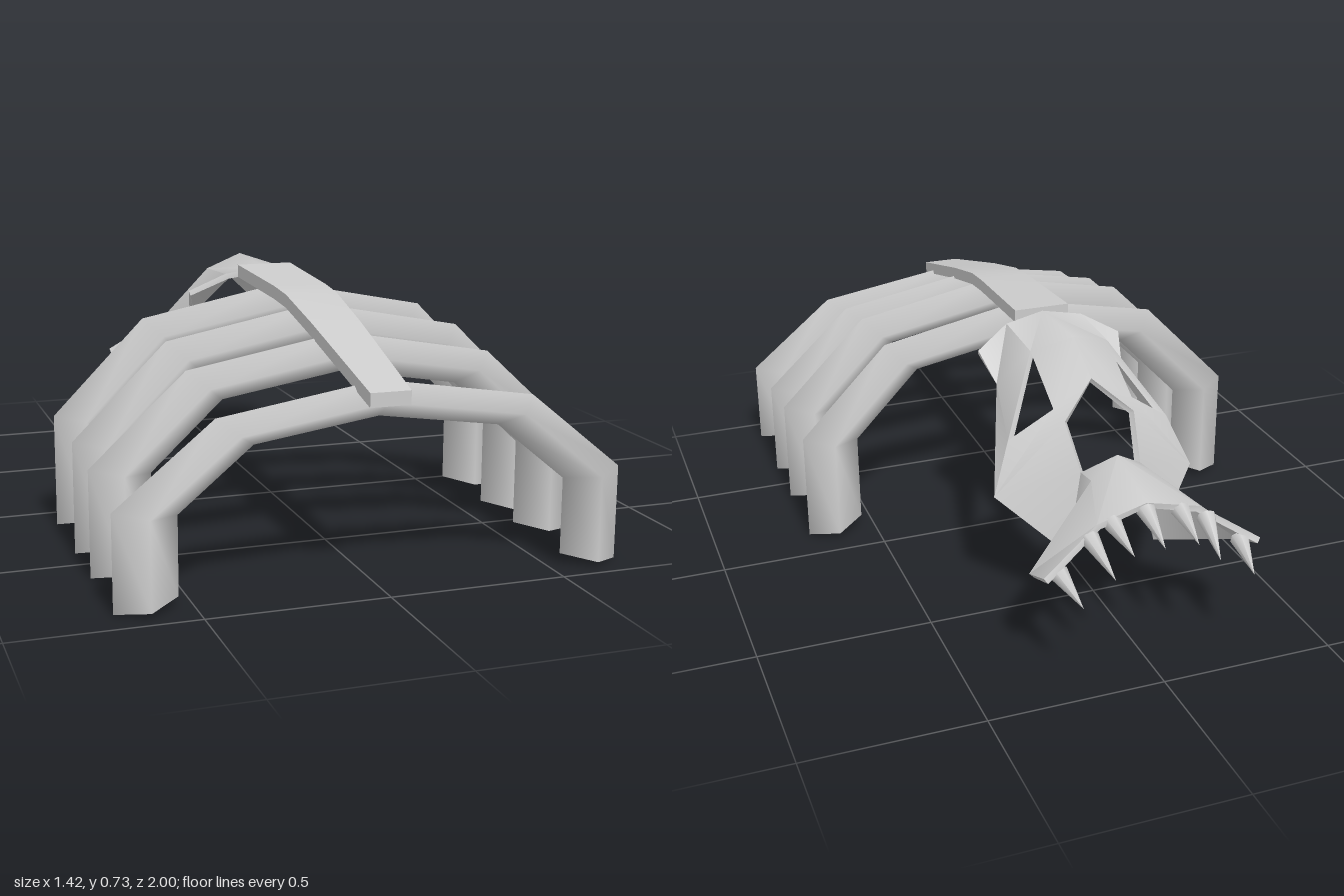
import * as THREE from 'three';
import { toCreasedNormals } from 'three/addons/utils/BufferGeometryUtils.js';

const bone = new THREE.MeshStandardMaterial({ color: 0xcccccc, side: THREE.DoubleSide });

function indexed(points, index) {
  const g = new THREE.BufferGeometry();
  g.setAttribute('position', new THREE.Float32BufferAttribute(points.flat(), 3));
  g.setIndex(index);
  g.computeVertexNormals();
  return g;
}

function part(name, geometry) {
  const m = new THREE.Mesh(geometry, bone);
  m.name = name;
  return m;
}

// Joins four-cornered rings into a bar with separate end caps
function loft(rings) {
  const last = rings.length - 1;
  const points = [...rings, rings[0], rings[last]].flat();
  const index = [];
  for (let i = 0; i < last; i++) {
    for (let j = 0; j < 4; j++) {
      const a = i * 4 + j, b = i * 4 + (j + 1) % 4;
      index.push(a, a + 4, b + 4, a, b + 4, b);
    }
  }
  const c = rings.length * 4;
  index.push(c, c + 1, c + 2, c, c + 2, c + 3);
  index.push(c + 6, c + 5, c + 4, c + 7, c + 6, c + 4);
  return indexed(points, index);
}

// Arched rib with a diamond section; outer and inner ridge lines
function rib(z, height) {
  const half = [
    [0.71, 0.005, 0.54, 0.035],
    [0.71, 0.27, 0.54, 0.25],
    [0.44, 0.49, 0.34, 0.415],
    [0, 0.56, 0, 0.465],
  ];
  const mirrored = half.slice(0, 3).reverse().map(([ox, oy, ix, iy]) => [-ox, oy, -ix, iy]);
  const k = height / 0.56;
  return loft([...half, ...mirrored].map(([ox, oy, ix, iy]) => {
    const mx = (ox + ix) / 2, my = (oy + iy) / 2 * k;
    return [[ox, oy * k, z], [mx, my, z + 0.0625], [ix, iy * k, z], [mx, my, z - 0.0625]];
  }));
}

// Tapered, gently bent spine: z, half width, top height
function spine() {
  const rings = [
    [1, 0.056, 0.55], [0.8, 0.063, 0.605], [0.6, 0.07, 0.66], [0.4, 0.076, 0.708],
    [0.3, 0.078, 0.718], [0.1, 0.082, 0.728], [-0.04, 0.085, 0.735],
  ].map(([z, w, y]) => [
    [w - 0.01, y - 0.038, z], [w - 0.01, y, z], [-w - 0.01, y, z], [-w - 0.01, y - 0.038, z],
  ]);
  return toCreasedNormals(loft(rings), 0.6);
}

// Skull mask: one half's landmarks, mirrored, then thickened
function skull() {
  const marks = {
    A0: [0, 0.725, -0.045], A1: [0.12, 0.705, -0.06], A2: [0.225, 0.65, -0.105],
    B0: [0, 0.735, -0.3], B1: [0.12, 0.695, -0.265], B2: [0.2, 0.575, -0.195],
    C0: [0, 0.66, -0.435], C1: [0.12, 0.59, -0.45], C2: [0.245, 0.5, -0.42], C3: [0.305, 0.355, -0.47],
    N1: [0.105, 0.57, -0.5], N2: [0.09, 0.45, -0.585], W: [0.14, 0.22, -0.62],
    S0: [0, 0.51, -0.63], S1: [0.09, 0.46, -0.66],
    R0: [0, 0.46, -0.83], R1: [0.15, 0.43, -0.845], F1: [0.315, 0.28, -0.78], F2: [0.315, 0.325, -0.89],
  };
  const faces = [
    'A0 A1 B1 B0', 'A1 A2 B2 B1', 'B0 B1 C1 C0', 'B1 B2 C2', 'B2 C3 C2', 'C0 C1 N1',
    'C1 C2 C3', 'C1 C3 N1', 'N1 C3 N2', 'N2 C3 W', 'N2 S1 S0', 'N2 W S1',
    'S0 S1 R1 R0', 'S1 W F1', 'S1 F1 R1', 'R1 F1 F2',
  ];
  const points = [], ids = {}, tris = [];
  const id = (key, side) => {
    const [x, y, z] = marks[key];
    const name = key + (x ? side : 0);
    if (!(name in ids)) ids[name] = points.push([x * side, y, z]) - 1;
    return ids[name];
  };
  for (const side of [1, -1]) {
    for (const face of faces) {
      const f = face.split(' ').map((key) => id(key, side));
      for (let i = 2; i < f.length; i++) {
        const [a, b, c] = [f[0], f[i - 1], f[i]];
        const [p, q, r] = [points[a], points[b], points[c]];
        // keep every triangle facing up
        const up = (q[2] - p[2]) * (r[0] - p[0]) - (q[0] - p[0]) * (r[2] - p[2]) > 0;
        tris.push(up ? [a, b, c] : [a, c, b]);
      }
    }
  }
  // inner layer and rims around the holes and outline
  const n = points.length;
  const normal = indexed(points, tris.flat()).getAttribute('normal');
  const t = 0.018;
  const inner = points.map(([x, y, z], i) =>
    [x - t * normal.getX(i), y - t * normal.getY(i), z - t * normal.getZ(i)]);
  const edges = new Set();
  tris.forEach((f) => f.forEach((a, i) => edges.add(a + '_' + f[(i + 1) % 3])));
  const index = tris.flatMap(([a, b, c]) => [a, b, c, c + n, b + n, a + n]);
  for (const e of edges) {
    const [a, b] = e.split('_').map(Number);
    if (!edges.has(b + '_' + a)) index.push(b, a, a + n, b, a + n, b + n);
  }
  return toCreasedNormals(indexed([...points, ...inner], index), 0.7);
}

// Pointed tooth from base to tip
function tooth(base, tip) {
  const from = new THREE.Vector3(...base), dir = new THREE.Vector3(...tip).sub(from);
  const length = dir.length();
  const g = new THREE.ConeGeometry(0.027, length, 7);
  g.translate(0, length / 2, 0);
  const m = part('tooth', g);
  m.position.copy(from);
  m.quaternion.setFromUnitVectors(new THREE.Vector3(0, 1, 0), dir.normalize());
  return m;
}

export function createModel() {
  const model = new THREE.Group();
  model.name = 'skeleton';
  model.add(part('spine', spine()));

  const ribs = new THREE.Group();
  ribs.name = 'ribs';
  [[0.125, 0.7], [0.405, 0.68], [0.62, 0.635], [0.9, 0.56]].forEach(([z, h]) =>
    ribs.add(part('rib', rib(z, h))));
  model.add(ribs);

  const head = new THREE.Group();
  head.name = 'head';
  head.position.x = -0.01;
  head.add(part('skull', skull()));
  // base x, y, z then tip x, y, z
  const teeth = [
    [0, 0.435, -0.825, 0, 0.385, -0.955],
    [0.1, 0.42, -0.83, 0.092, 0.385, -0.965],
    [0.17, 0.395, -0.845, 0.15, 0.335, -0.98],
    [0.265, 0.32, -0.865, 0.245, 0.28, -0.995],
  ];
  for (const [x, y, z, tx, ty, tz] of teeth) {
    for (const s of x ? [1, -1] : [1]) head.add(tooth([x * s, y, z], [tx * s, ty, tz]));
  }
  model.add(head);
  return model;
}
